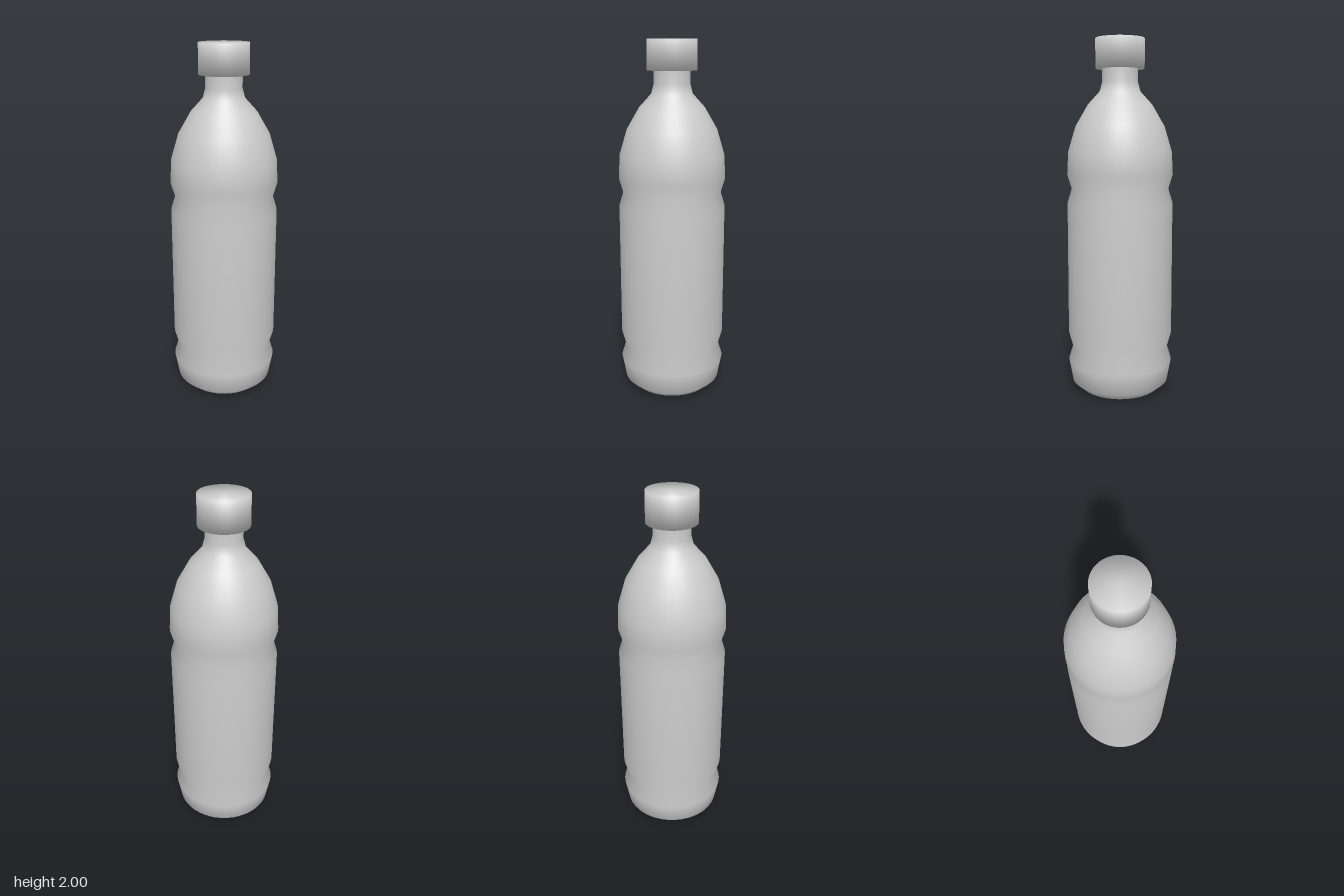
import * as THREE from 'three';

const SEGMENTS = 48;

// Smooth turned part from [radius, height] pairs, listed bottom to top
function turned(name, profile, material) {
  const points = profile.map(([r, y]) => new THREE.Vector2(r, y));
  const mesh = new THREE.Mesh(new THREE.LatheGeometry(points, SEGMENTS), material);
  mesh.name = name;
  return mesh;
}

export function createModel() {
  const group = new THREE.Group();
  group.name = 'bottle';
  const grey = new THREE.MeshStandardMaterial({ color: 0xcccccc });
  grey.name = 'light grey';

  // Body: chamfered base, two pinched grooves, domed shoulder and neck
  group.add(turned('body', [
    [0, 0], [0.222, 0.003], [0.277, 0.05], [0.299, 0.17],
    [0.275, 0.25], [0.299, 0.335],
    [0.299, 1.09], [0.275, 1.17], [0.299, 1.25],
    [0.292, 1.38], [0.25, 1.52], [0.18, 1.64], [0.114, 1.712],
    [0.1, 1.765], [0.1, 1.85],
  ], grey));

  // Screw cap, closed above and below
  group.add(turned('cap', [
    [0, 1.836], [0.137, 1.836], [0.137, 2], [0, 2],
  ], grey));

  return group;
}
